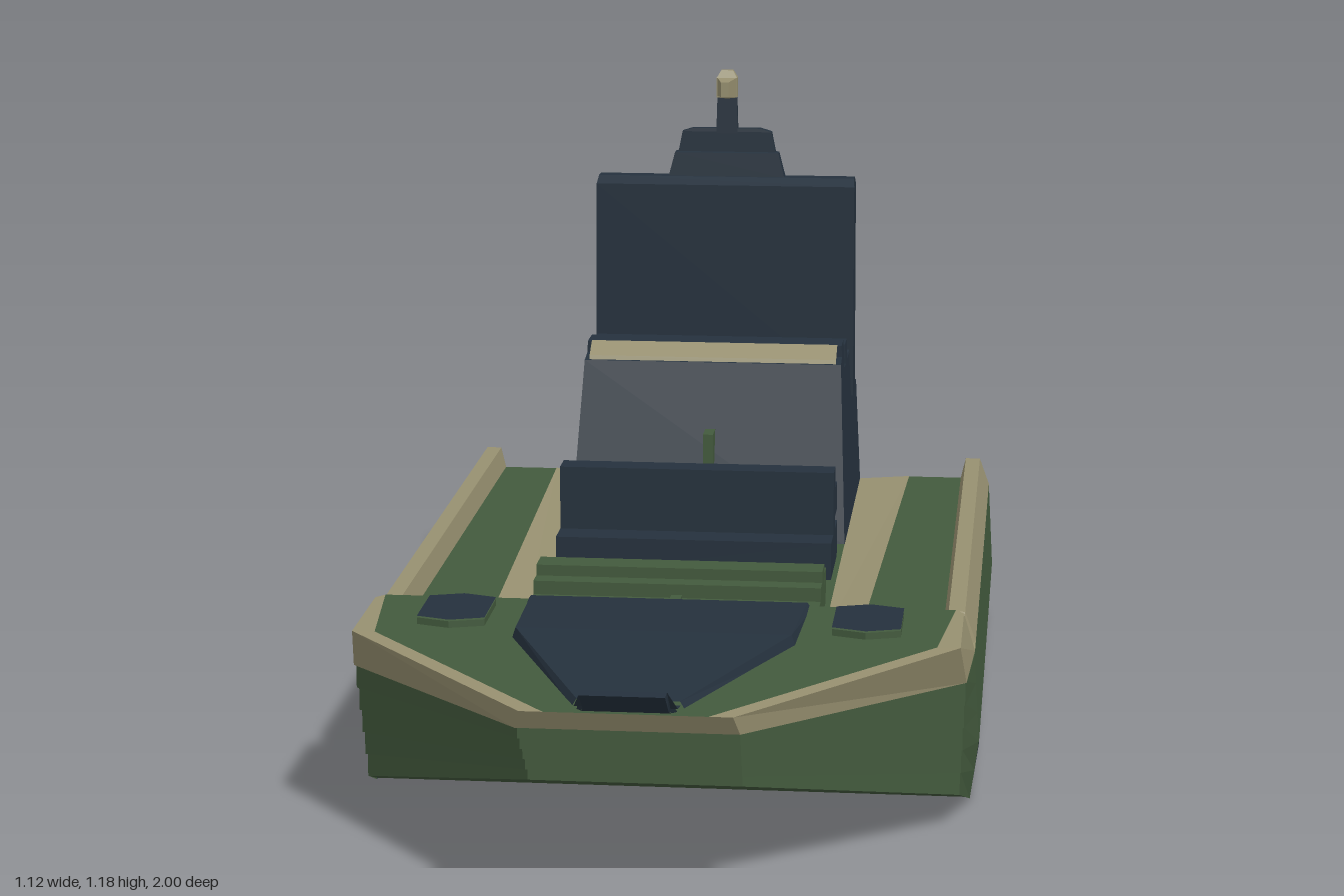
import * as THREE from 'three';

const paint = (name, color) => {
  const m = new THREE.MeshStandardMaterial({ color, side: THREE.DoubleSide, flatShading: true });
  m.name = name;
  return m;
};

export function createModel() {
  const boat = new THREE.Group();
  boat.name = 'patrolBoat';
  const green = paint('olive green', 0x435a3d);
  const navy = paint('dark navy', 0x25313d);
  const tan = paint('khaki tan', 0x979070);

  const add = (name, geo, mat) => {
    const mesh = new THREE.Mesh(geo, mat);
    mesh.name = name;
    boat.add(mesh);
    return mesh;
  };
  // Faceted skin lofted through rows of [x, y, z] points
  const sheet = (name, rows, mat) => {
    const pos = [];
    for (let i = 0; i + 1 < rows.length; i++) {
      for (let j = 0; j + 1 < rows[i].length; j++) {
        const a = rows[i][j], b = rows[i][j + 1], c = rows[i + 1][j + 1], d = rows[i + 1][j];
        pos.push(...a, ...b, ...c, ...a, ...c, ...d);
      }
    }
    const geo = new THREE.BufferGeometry();
    geo.setAttribute('position', new THREE.Float32BufferAttribute(pos, 3));
    geo.computeVertexNormals();
    return add(name, geo, mat);
  };
  const flip = (pts) => pts.map(([x, y, z]) => [-x, y, z]);
  const both = (name, rows, mat) => {
    sheet(name + 'Left', rows, mat);
    sheet(name + 'Right', rows.map(flip), mat);
  };
  // Half row completed across the centreline
  const across = (pts) => [...pts, ...flip(pts).reverse()];
  // Box given by its limits
  const box = (name, w, y0, y1, z0, z1, mat, x = 0) => {
    const m = add(name, new THREE.BoxGeometry(w, y1 - y0, z1 - z0), mat);
    m.position.set(x, (y0 + y1) / 2, (z0 + z1) / 2);
    return m;
  };
  const mix = THREE.MathUtils.lerp;

  // Hull bottom and flat sides
  sheet('hullBottom', [[0.545, 0, -1], [0.545, 0.003, 0.25], [0.53, 0.06, 0.41], [0.18, 0.2, 0.82]]
    .map((p) => across([p])), green);
  const sideX = (y) => (y < 0.11 ? 0.545 + 0.136 * y : 0.56 - 0.057 * (y - 0.11));
  const sideRow = (y) => [[sideX(y), y, -1], [sideX(y), y, 0.25 + 0.14 * y]];
  both('lowerSide', [sideRow(0), sideRow(0.11)], navy);
  both('upperSide', [sideRow(0.11), sideRow(0.285)], green);

  // Stepped bow strakes
  const strakeRow = (tp, ty) => {
    const y = 0.285 * ty;
    return across([
      [sideX(y), y, 0.25 + 0.14 * y],
      [mix(0.53, 0.54, tp), mix(0.06, 0.285, ty), mix(0.41, 0.47, tp)],
      [mix(0.18, 0.185, tp), mix(0.2, 0.325, ty), mix(0.82, 0.93, tp)],
    ]);
  };
  const strakes = [strakeRow(0, 0)];
  const count = 5;
  for (let i = 1; i <= count; i++) {
    strakes.push(strakeRow((i - 1) / count, i / count), strakeRow(i / count, i / count));
  }
  sheet('bowStrakes', strakes, green);

  // Bow rim, border and deck
  const rimLow = [[0.55, 0.285, 0.27], [0.54, 0.285, 0.47], [0.185, 0.325, 0.93]];
  const rimTop = [[0.53, 0.365, 0.31], [0.53, 0.365, 0.53], [0.175, 0.36, 0.95]];
  const rimIn = [[0.515, 0.365, 0.29], [0.49, 0.365, 0.53], [0.135, 0.36, 0.95]];
  sheet('bowRim', [across(rimLow), across(rimTop)], tan);
  both('bowBorder', [rimTop, rimIn], tan);
  sheet('bowDeck', rimIn.map((p) => across([p])), green);
  sheet('bowBulkhead', [across([[0.53, 0.285, 0.285]]), across([[0.515, 0.365, 0.29]])], green);

  // Raised bow hood
  const hood = [[0.25, 0.37, 0.285], [0.24, 0.383, 0.54], [0.085, 0.372, 0.91]];
  sheet('bowHood', hood.map(([x, y, z]) => across([[x + 0.008, 0.358, z], [x, y, z]])), navy);
  // Bow roller lip
  const lip = [[0.085, 0.362, 0.9], [0.085, 0.37, 0.945], [0.07, 0.405, 0.97], [0.07, 0.405, 1]];
  sheet('bowLip', lip.map((p) => across([p])), navy);
  sheet('bowLipUnderside', [[0.07, 0.405, 1], [0.07, 0.365, 0.945], [0.085, 0.345, 0.92]]
    .map((p) => across([p])), navy);
  both('bowLipCheek', [[[0.07, 0.405, 0.97], [0.07, 0.405, 1]], [[0.085, 0.35, 0.92], [0.07, 0.365, 0.945]]], navy);

  // Hexagonal deck hatches
  const hex = [[0.305, 0.34], [0.365, 0.32], [0.425, 0.34], [0.425, 0.475], [0.365, 0.495], [0.305, 0.475]];
  for (const s of [1, -1]) {
    const shape = new THREE.Shape(hex.map(([x, z]) => new THREE.Vector2(s * x, -z)));
    const coaming = add('hatchCoaming', new THREE.ExtrudeGeometry(shape, { depth: 0.015, bevelEnabled: false }), green);
    coaming.rotation.x = -Math.PI / 2;
    coaming.position.y = 0.362;
    const lid = add('hatchLid', new THREE.ShapeGeometry(shape), navy);
    lid.rotation.x = -Math.PI / 2;
    lid.position.y = 0.38;
  }

  // Side rails and walkways
  const rail = (z, top, inner) => [[0.55, 0.285, z], [0.53, top, z], [0.5, top, z], [0.49, inner, z]];
  both('sideRail', [rail(-1, 0.34, 0.297), rail(0.21, 0.34, 0.297), rail(0.27, 0.288, 0.288)], tan);
  both('walkway', [[[0.49, 0.297, -1], [0.38, 0.297, -1]], [[0.49, 0.297, 0.29], [0.33, 0.297, 0.29]]], green);
  both('walkwayEdge', [[[0.38, 0.298, -1], [0.27, 0.29, -1]], [[0.34, 0.298, 0.24], [0.27, 0.29, 0.285]]], tan);

  // Cockpit floor, ribbed steps and floor plate
  sheet('cockpitFloor', [-0.44, 0.29].map((z) => across([[0.275, 0.293, z]])), green);
  box('floorPlate', 0.11, 0.294, 0.302, -0.155, 0, tan);
  const steps = [[0, 0.36], [0.05, 0.38], [0.11, 0.36], [0.15, 0.335], [0.185, 0.325], [0.22, 0.315], [0.25, 0.305], [0.285, 0.3]];
  for (let i = 0; i + 1 < steps.length; i++) {
    box('step', 0.53, 0.285, steps[i][1], steps[i][0] + 0.002, steps[i + 1][0], green);
  }
  box('stepLatch', 0.02, 0.3, 0.34, 0.15, 0.2, green);

  // Bench seat
  box('seatBase', 0.53, 0.29, 0.365, -0.34, -0.155, navy);
  box('seatBack', 0.53, 0.36, 0.488, -0.275, -0.22, navy);
  box('seatBolster', 0.53, 0.39, 0.445, -0.33, -0.275, navy);

  // Console shell, open underneath and astern
  const profile = [[-0.43, 0.29], [-0.545, 0.632], [-0.585, 0.64], [-0.585, 0.663], [-0.65, 0.663],
    [-0.65, 0.605], [-0.69, 0.605], [-0.69, 0.645], [-0.75, 0.645], [-0.75, 0.602], [-0.815, 0.61],
    [-0.815, 0.52], [-1, 0.507]];
  const halfWidth = (y) => 0.275 - 0.05 * (y - 0.29);
  sheet('consoleTop', profile.map(([z, y]) => across([[halfWidth(y), y, z]])), navy);
  const wallShape = new THREE.Shape([...profile, [-1, 0.29]].map(([z, y]) => new THREE.Vector2(z, y)));
  for (const s of [1, -1]) {
    const geo = new THREE.ShapeGeometry(wallShape);
    const p = geo.attributes.position;
    for (let i = 0; i < p.count; i++) p.setXYZ(i, s * halfWidth(p.getY(i)), p.getY(i), p.getX(i));
    geo.computeVertexNormals();
    add('consoleWall', geo, navy);
  }
  sheet('consoleTrim', [[-0.542, 0.634], [-0.545, 0.642], [-0.584, 0.665]].map(([z, y]) => across([[0.248, y, z]])), tan);
  box('keelPlate', 0.02, 0.003, 0.505, -1, -0.45, green);

  // Upright screen slab with a chamfered top
  const ring = (w, y, z0, z1) => [[w, y, z0], [w, y, z1], [-w, y, z1], [-w, y, z0], [w, y, z0]];
  sheet('screenSlab', [ring(0.268, 0.512, -0.882, -0.812), ring(0.266, 0.948, -0.878, -0.815),
    ring(0.264, 0.962, -0.872, -0.84), ring(0, 0.962, -0.86, -0.85)], navy);

  // Stepped mast base and post
  sheet('mastBase', [ring(0.12, 0.96, -0.878, -0.845), ring(0.107, 1.01, -0.878, -0.85), ring(0.1, 1.012, -0.876, -0.855),
    ring(0.092, 1.053, -0.875, -0.857), ring(0.07, 1.06, -0.874, -0.858), ring(0, 1.06, -0.87, -0.86)], navy);
  sheet('mastPost', [ring(0.022, 1.05, -0.878, -0.855), ring(0.02, 1.13, -0.872, -0.86)], navy);

  // Lamp head with forward snout
  sheet('lampHead', [ring(0, 1.122, -0.87, -0.855), ring(0.021, 1.125, -0.872, -0.85), ring(0.021, 1.165, -0.872, -0.85),
    ring(0.012, 1.18, -0.87, -0.858), ring(0, 1.18, -0.866, -0.86)], tan);
  const snout = (w, y0, y1, z) => [[w, y0, z], [w, y1, z], [-w, y1, z], [-w, y0, z], [w, y0, z]];
  sheet('lampSnout', [snout(0.019, 1.128, 1.165, -0.85), snout(0.008, 1.132, 1.162, -0.802), snout(0, 1.145, 1.145, -0.802)], tan);

  return boat;
}
